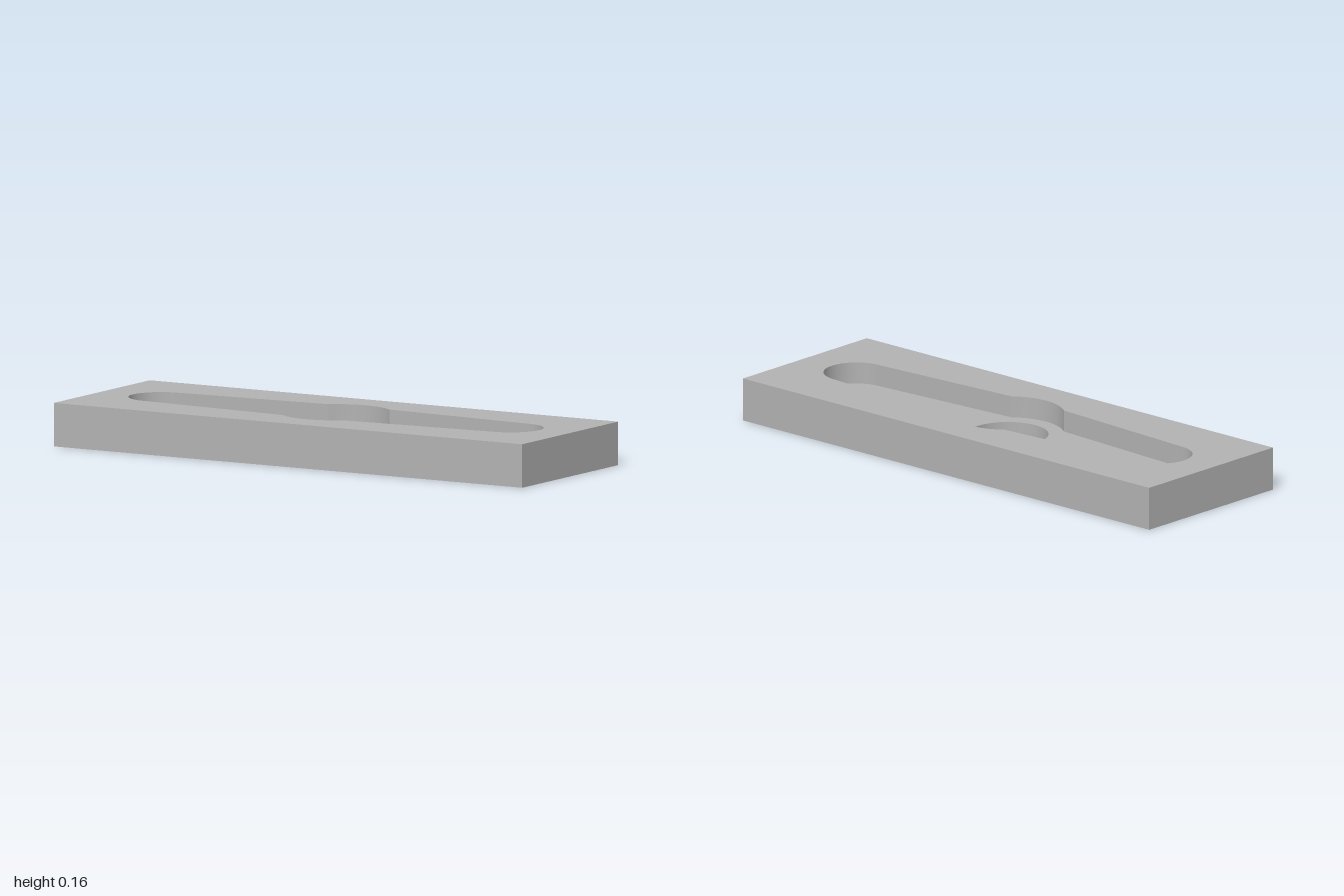
import * as THREE from 'three';
import { mergeGeometries, toCreasedNormals } from 'three/addons/utils/BufferGeometryUtils.js';

const WIDTH = 2, DEPTH = 0.67, HEIGHT = 0.16, FLOOR = 0.08;

// Points along an arc, both ends included
function arc(cx, r, from, to, n) {
  return Array.from({ length: n + 1 }, (_, i) => {
    const a = from + (to - from) * i / n;
    return new THREE.Vector2(cx + r * Math.cos(a), r * Math.sin(a));
  });
}

// Flat horizontal face at height y, with optional hole
function face(outline, hole, y, down = false) {
  const shape = new THREE.Shape(outline);
  if (hole) shape.holes.push(new THREE.Path(hole));
  const g = new THREE.ShapeGeometry(shape);
  g.rotateX(down ? Math.PI / 2 : -Math.PI / 2).translate(0, y, 0);
  g.deleteAttribute('uv');
  return g.toNonIndexed();
}

// Vertical wall along a closed loop; counterclockwise loops face outward
function wall(loop, y0, y1) {
  const pos = [];
  loop.forEach((a, i) => {
    const b = loop[(i + 1) % loop.length];
    const a0 = [a.x, y0, -a.y], b0 = [b.x, y0, -b.y];
    const a1 = [a.x, y1, -a.y], b1 = [b.x, y1, -b.y];
    pos.push(...a0, ...b0, ...b1, ...a0, ...b1, ...a1);
  });
  const g = new THREE.BufferGeometry();
  g.setAttribute('position', new THREE.Float32BufferAttribute(pos, 3));
  g.computeVertexNormals();
  return g;
}

export function createModel() {
  const grey = new THREE.MeshStandardMaterial({ color: 0xb2b2b2 });
  grey.name = 'grey metal';

  // Rectangular outer edge
  const w = WIDTH / 2, d = DEPTH / 2;
  const edge = [[-w, -d], [w, -d], [w, d], [-w, d]].map(([x, y]) => new THREE.Vector2(x, y));

  // Tapered pocket with round ends and a round bulge in the middle
  const tip = 1.508, bulge = Math.atan2(0.16, 0.13), PI = Math.PI;
  const pocket = [
    ...arc(0.746, 0.12, -tip, tip, 32),
    ...arc(0, 0.206, bulge, PI - bulge, 24),
    ...arc(-0.746, 0.12, PI - tip, PI + tip, 32),
    ...arc(0, 0.206, PI + bulge, 2 * PI - bulge, 24),
  ];

  // Through hole
  const hole = arc(0, 0.148, 0, 2 * PI, 64).slice(0, -1);
  const reversed = (loop) => [...loop].reverse();

  const geometry = mergeGeometries([
    face(edge, pocket, HEIGHT),
    face(pocket, hole, FLOOR),
    face(edge, hole, 0, true),
    wall(edge, 0, HEIGHT),
    wall(reversed(pocket), FLOOR, HEIGHT),
    wall(reversed(hole), 0, FLOOR),
  ]);

  const plate = new THREE.Mesh(toCreasedNormals(geometry, 0.35), grey);
  plate.name = 'pocketedPlate';
  const model = new THREE.Group();
  model.name = 'slottedPlate';
  model.add(plate);
  return model;
}
